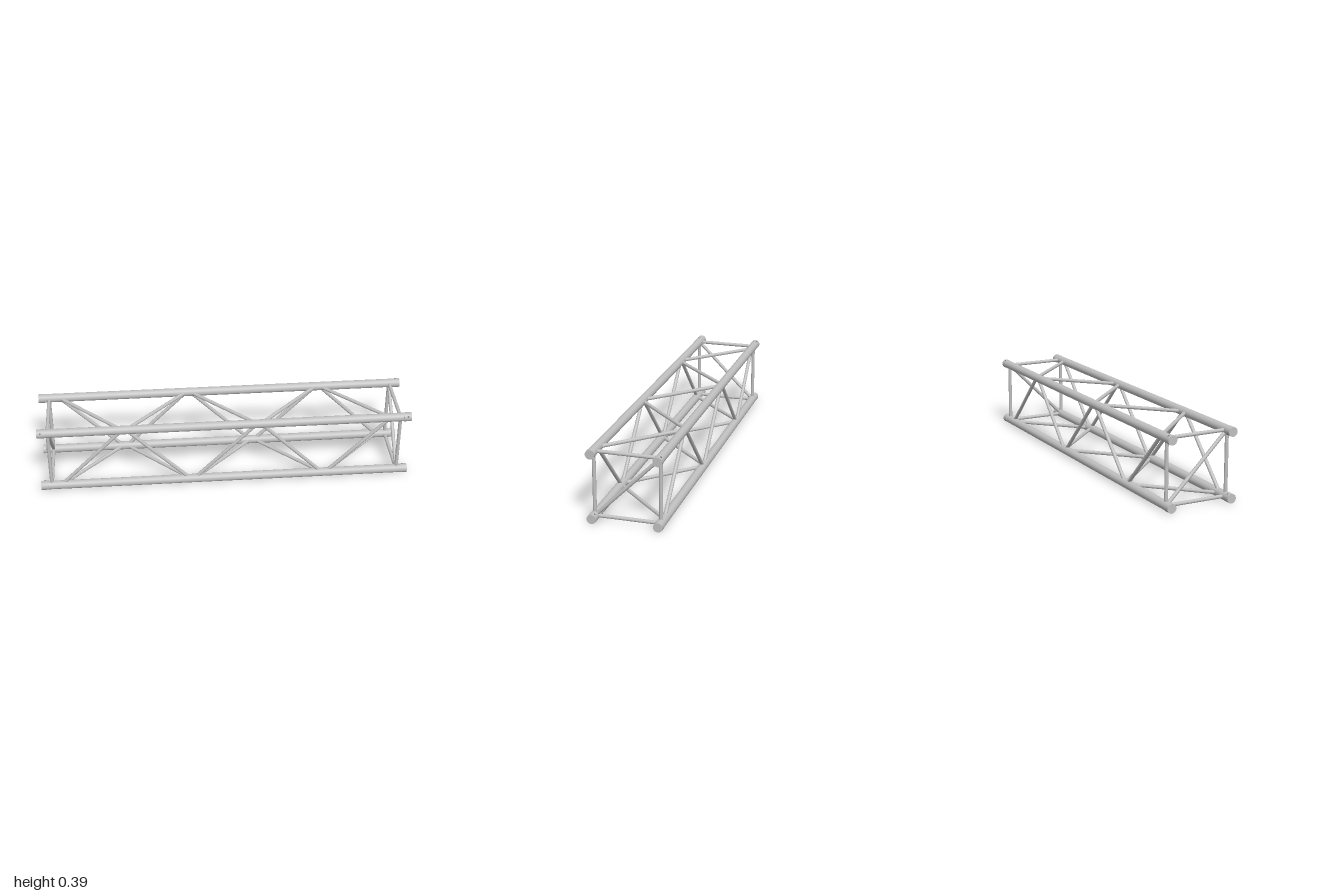
import * as THREE from 'three';

const H = 0.17;          // half distance between chord axes
const CY = 0.1945;       // height of the truss centre line
const CHORD_R = 0.0232, SLEEVE_R = 0.0243, BRACE_R = 0.0095;
const FRAME_X = 0.943, BAY = 0.36, REACH = 0.155;

export function createModel() {
  const aluminium = new THREE.MeshStandardMaterial({ color: 0xc0c0c0 });
  aluminium.name = 'aluminium';
  const holeGrey = new THREE.MeshStandardMaterial({ color: 0x707070 });
  holeGrey.name = 'holeGrey';

  const truss = new THREE.Group();
  truss.name = 'boxTruss';
  const UP = new THREE.Vector3(0, 1, 0);

  // Round bar between two points
  function bar(name, parent, a, b, radius, sides = 20, material = aluminium) {
    const from = new THREE.Vector3(...a), to = new THREE.Vector3(...b);
    const dir = to.clone().sub(from);
    const mesh = new THREE.Mesh(new THREE.CylinderGeometry(radius, radius, dir.length(), sides), material);
    mesh.position.copy(from).add(to).multiplyScalar(0.5);
    mesh.quaternion.setFromUnitVectors(UP, dir.normalize());
    mesh.name = name;
    parent.add(mesh);
  }

  // Four sides, each a quarter turn about the long axis: front, bottom, back, top
  ['front', 'bottom', 'back', 'top'].forEach((label, i) => {
    const side = new THREE.Group();
    side.name = label + 'Side';
    side.rotation.x = i * Math.PI / 2;

    // Main chord and its end sleeves
    bar('chord', side, [-0.965, H, H], [0.965, H, H], CHORD_R, 40);
    for (const s of [-1, 1]) {
      bar('endSleeve', side, [s * 0.96, H, H], [s, H, H], SLEEVE_R, 40);

      // Pin hole through the sleeve, shown by thin discs at both mouths
      const y = 0.5, z = Math.sqrt(0.75);
      for (const d of [-1, 1]) {
        const r0 = d * (SLEEVE_R - 0.003), r1 = d * (SLEEVE_R + 0.0004);
        bar('pinHole', side, [s * 0.98, H + y * r0, H + z * r0],
          [s * 0.98, H + y * r1, H + z * r1], 0.005, 16, holeGrey);
      }

      // Upright of the end frame
      bar('endStrut', side, [s * FRAME_X, -REACH, H], [s * FRAME_X, REACH, H], BRACE_R);
    }

    // Zigzag braces, mirrored on alternate sides so the nodes meet
    const start = i % 2 === 0 ? 1 : -1;
    for (let k = 0; k < 5; k++) {
      const x = (k - 2) * BAY;
      // opposite sides are turned half round, which already flips them
      const slope = (k % 2 === 0 ? 1 : -1) * start;
      bar('brace', side, [x - REACH, -slope * REACH, H], [x + REACH, slope * REACH, H], BRACE_R);
    }
    truss.add(side);
  });

  // Diagonal across each end frame
  for (const s of [-1, 1]) {
    bar('endDiagonal', truss, [s * FRAME_X, -s * REACH, REACH], [s * FRAME_X, s * REACH, -REACH], BRACE_R);
  }

  truss.position.y = CY;
  const model = new THREE.Group();
  model.name = 'trussModel';
  model.add(truss);
  return model;
}
